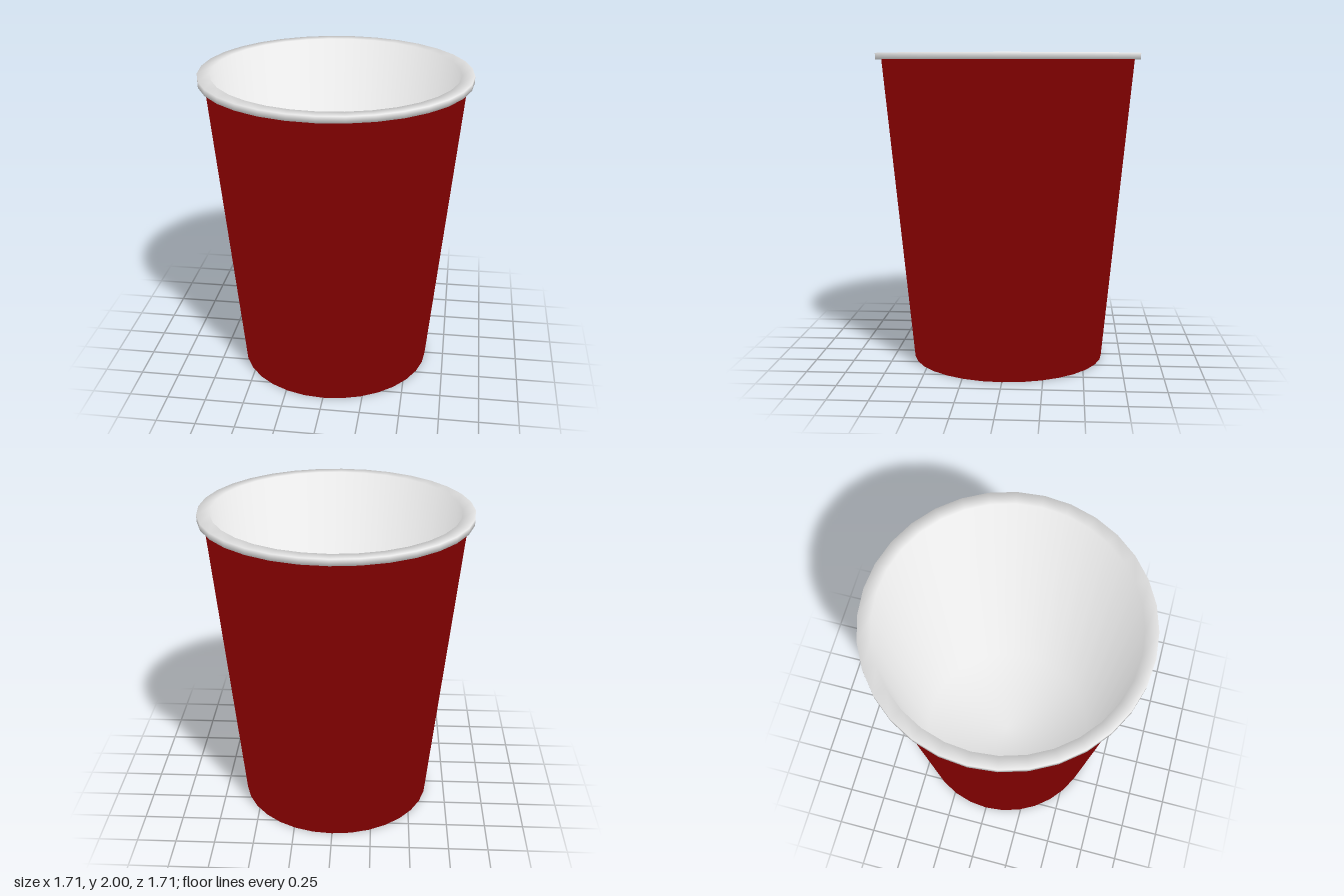
import * as THREE from 'three';

const SIDES = 32;

const red = new THREE.MeshStandardMaterial({ color: 0xc00000 });
red.name = 'red';
const white = new THREE.MeshStandardMaterial({ color: 0xffffff });
white.name = 'white';

// Whole cross-section, from the centre of the base, over the rim, to the floor
const profile = [
  [0, 0], [0.625, 0],
  [0.815, 1.96], [0.855, 1.96], [0.855, 2],
  [0.775, 2], [0.6, 0.04], [0, 0.04],
].map(([r, y]) => new THREE.Vector2(r, y));

// Outward direction of the profile edge that starts at point i
function edgeNormal(i) {
  const d = profile[i + 1].clone().sub(profile[i]).normalize();
  return new THREE.Vector2(d.y, -d.x);
}

// Each corner is shaded by the even average of its two edges, so the skin is smooth throughout
const normals = profile.map((p, i) => {
  if (i === 0) return edgeNormal(0);
  if (i === profile.length - 1) return edgeNormal(i - 1);
  return edgeNormal(i - 1).add(edgeNormal(i)).normalize();
});

// Revolve the profile points first..last around the y axis
function revolve(name, first, last, material) {
  const count = last - first + 1;
  const geometry = new THREE.LatheGeometry(profile.slice(first, last + 1), SIDES);
  const normal = geometry.attributes.normal;
  for (let i = 0; i < normal.count; i++) {
    const angle = (Math.floor(i / count) / SIDES) * Math.PI * 2;
    const n = normals[first + (i % count)];
    normal.setXYZ(i, n.x * Math.sin(angle), n.y, n.x * Math.cos(angle));
  }
  const mesh = new THREE.Mesh(geometry, material);
  mesh.name = name;
  return mesh;
}

export function createModel() {
  const cup = new THREE.Group();
  cup.name = 'cup';
  cup.add(
    revolve('outerWall', 0, 2, red), // base and tapered wall
    revolve('rim', 2, 5, white), // overhanging lip
    revolve('innerLining', 5, 7, white), // inside wall and floor
  );
  return cup;
}
